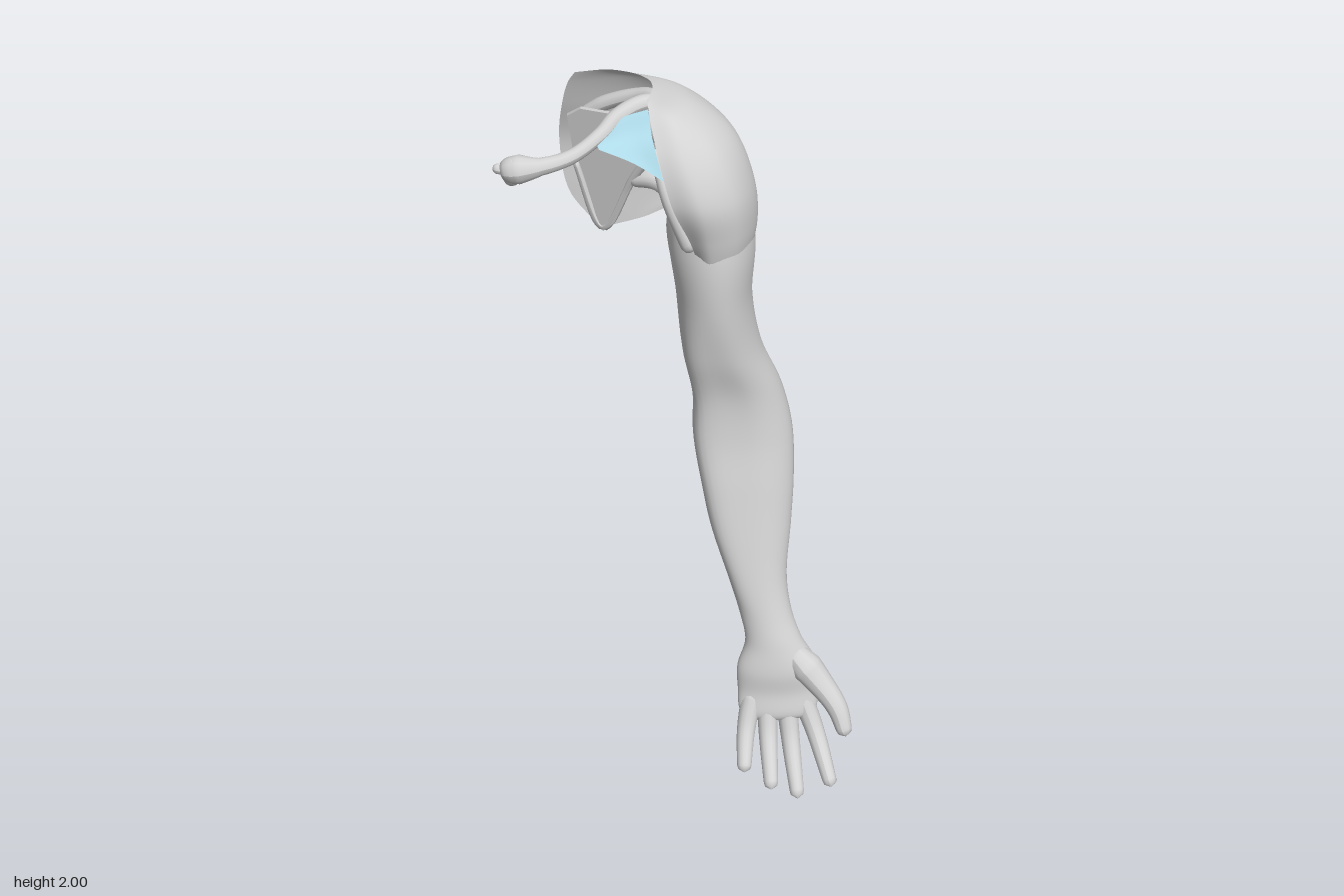
import * as THREE from 'three';
import { mergeVertices } from 'three/addons/utils/BufferGeometryUtils.js';

const V = (p) => new THREE.Vector3(...p);
const spline = (pts) => new THREE.CatmullRomCurve3(pts);

// Smooth surface through a grid of control points (rows of Vector3)
function patch(rows, nu, nv) {
  const across = rows.map((r) => spline(r).getPoints(nu));
  const pos = [], index = [];
  for (let i = 0; i <= nu; i++) {
    for (const p of spline(across.map((r) => r[i])).getPoints(nv)) pos.push(p.x, p.y, p.z);
  }
  const w = nv + 1;
  for (let i = 0; i < nu; i++) {
    for (let j = 0; j < nv; j++) {
      const a = i * w + j, b = a + w;
      index.push(a, b, a + 1, b, b + 1, a + 1);
    }
  }
  let g = new THREE.BufferGeometry();
  g.setAttribute('position', new THREE.Float32BufferAttribute(pos, 3));
  g.setIndex(index);
  g = mergeVertices(g, 1e-5);
  g.computeVertexNormals();
  return g;
}

// Tube along points, with radii spread evenly along it and rounded ends
function limb(points, radii, seg = 28, sides = 14) {
  const curve = spline(points.map(V));
  const g = new THREE.TubeGeometry(curve, seg, 1, sides);
  const pos = g.attributes.position, v = new THREE.Vector3();
  const length = curve.getLength();
  for (let i = 0; i < pos.count; i++) {
    const t = Math.floor(i / (sides + 1)) / seg;
    const k = Math.min(t * (radii.length - 1), radii.length - 1.001), n = Math.floor(k);
    let r = THREE.MathUtils.lerp(radii[n], radii[n + 1], k - n);
    const end = Math.min(t, 1 - t) * length;
    if (end < r) r *= Math.sqrt(Math.max(0, 1 - (1 - end / r) ** 2));
    const c = curve.getPointAt(t);
    v.fromBufferAttribute(pos, i).sub(c).multiplyScalar(r).add(c);
    pos.setXYZ(i, v.x, v.y, v.z);
  }
  g.computeVertexNormals();
  return g;
}

export function createModel() {
  const group = new THREE.Group();
  const grey = new THREE.MeshStandardMaterial({ color: 0xd3d3d3, side: THREE.DoubleSide });
  grey.name = 'light grey';
  const blue = new THREE.MeshStandardMaterial({ color: 0xadd8e6, side: THREE.DoubleSide });
  blue.name = 'light blue';
  const add = (name, geometry, material = grey) => {
    const mesh = new THREE.Mesh(geometry, material);
    mesh.name = name;
    group.add(mesh);
    return mesh;
  };

  // Arm and palm: y, x range, z range, lean of the diagonal towards -x +z, fullness of the inner back corner
  const sections = [
    [1.77, 0.09, 0.1, -0.06, -0.05], [1.765, 0.05, 0.15, -0.13, 0.04],
    [1.7, 0.01, 0.172, -0.185, 0.08, 0, 0.028], [1.6, -0.028, 0.188, -0.208, 0.1, 0, 0.03],
    [1.45, -0.015, 0.182, -0.2, 0.095, 0.004, 0.014], [1.3, 0, 0.208, -0.18, 0.07, 0.014, 0.004],
    [1.16, 0.03, 0.265, -0.172, 0.035, 0.024], [1.03, 0.03, 0.297, -0.15, 0.036, 0.022],
    [0.89, 0.05, 0.303, -0.115, 0.06, 0.018], [0.76, 0.075, 0.297, -0.075, 0.085, 0.012],
    [0.6, 0.125, 0.285, -0.01, 0.118, 0.004], [0.5, 0.155, 0.3, 0.03, 0.14],
    [0.42, 0.17, 0.33, 0.058, 0.16], [0.34, 0.148, 0.375, 0.07, 0.175],
    [0.27, 0.15, 0.375, 0.09, 0.175], [0.2, 0.158, 0.368, 0.118, 0.185],
    [0.18, 0.2, 0.33, 0.14, 0.175], [0.178, 0.26, 0.262, 0.155, 0.157],
  ];
  const rings = sections.map(([y, x0, x1, z0, z1, lean = 0, full = 0]) => Array.from({ length: 25 }, (_, i) => {
    const a = ((i % 24) / 24) * Math.PI * 2, c = Math.cos(a), s = Math.sin(a);
    const corner = Math.sin(2 * a) ** 2;
    const l = c * s < 0 ? lean * corner : 0;
    const f = c < 0 && s < 0 ? full * corner : 0;
    return V([(x0 + x1) / 2 + c * (x1 - x0) / 2 - l - f, y, (z0 + z1) / 2 + s * (z1 - z0) / 2 + l - f]);
  }));
  add('armAndPalm', patch(rings, 48, 110));

  // Fingers and thumb
  const digits = {
    littleFinger: [[0.196, 0.27, 0.13], [0.172, 0.16, 0.185], [0.162, 0.075, 0.272]],
    ringFinger: [[0.232, 0.27, 0.13], [0.234, 0.14, 0.19], [0.237, 0.04, 0.308]],
    middleFinger: [[0.283, 0.27, 0.13], [0.298, 0.12, 0.19], [0.312, 0.006, 0.31]],
    indexFinger: [[0.318, 0.27, 0.13], [0.368, 0.14, 0.18], [0.408, 0.028, 0.29]],
  };
  for (const [name, pts] of Object.entries(digits)) add(name, limb(pts, [0.03, 0.028, 0.024, 0.019]));
  add('thumb', limb([[0.29, 0.4, 0.12], [0.365, 0.32, 0.16], [0.422, 0.25, 0.205], [0.447, 0.175, 0.245]],
    [0.03, 0.045, 0.036, 0.029, 0.02]));

  // Shoulder skin: rows run from the front edge round the outside to the back flap
  const shoulder = [
    [[-0.085, 2, -0.03], [-0.075, 2, -0.07], [-0.07, 2, -0.1], [-0.075, 2, -0.14],
      [-0.1, 2, -0.175], [-0.13, 2, -0.195], [-0.18, 1.998, -0.215], [-0.262, 1.983, -0.235]],
    [[-0.08, 1.975, 0.02], [-0.03, 1.978, 0.025], [0.01, 1.98, -0.02], [0.025, 1.98, -0.08],
      [0.005, 1.978, -0.16], [-0.05, 1.975, -0.203], [-0.12, 1.97, -0.228], [-0.28, 1.95, -0.25]],
    [[-0.062, 1.9, 0.085], [0, 1.9, 0.095], [0.08, 1.9, 0.055], [0.128, 1.9, -0.06],
      [0.09, 1.9, -0.175], [0.02, 1.9, -0.22], [-0.07, 1.9, -0.25], [-0.297, 1.88, -0.275]],
    [[-0.03, 1.78, 0.115], [0.04, 1.78, 0.133], [0.13, 1.78, 0.085], [0.18, 1.78, -0.05],
      [0.14, 1.78, -0.175], [0.06, 1.78, -0.232], [-0.05, 1.77, -0.272], [-0.308, 1.76, -0.314]],
    [[0.015, 1.67, 0.09], [0.06, 1.67, 0.113], [0.14, 1.67, 0.08], [0.192, 1.67, -0.05],
      [0.145, 1.67, -0.175], [0.06, 1.67, -0.22], [-0.04, 1.66, -0.262], [-0.286, 1.61, -0.312]],
    [[0.035, 1.6, 0.065], [0.075, 1.55, 0.08], [0.13, 1.55, 0.058], [0.172, 1.55, -0.05],
      [0.115, 1.57, -0.175], [0.01, 1.62, -0.2], [-0.1, 1.55, -0.265], [-0.205, 1.508, -0.292]],
  ];
  add('shoulderSkin', patch(shoulder.map((r) => r.map(V)), 70, 50));

  // Collarbone with its knobbed inner end
  add('collarbone', limb([[-0.445, 1.905, 0.15], [-0.42, 1.91, 0.152], [-0.35, 1.92, 0.158], [-0.275, 1.925, 0.12],
    [-0.2, 1.94, 0.03], [-0.16, 1.955, -0.035], [-0.1, 1.968, -0.08], [-0.05, 1.965, -0.095]],
  [0.03, 0.036, 0.022, 0.019, 0.018, 0.018, 0.019, 0.02, 0.021, 0.022, 0.022], 60));
  add('collarboneStub', limb([[-0.46, 1.915, 0.15], [-0.41, 1.91, 0.15]], [0.012, 0.016]));
  add('collarboneKnob', limb([[-0.418, 1.868, 0.14], [-0.405, 1.945, 0.165]], [0.018, 0.026, 0.018]));

  // Chest muscle between the collarbone and the skin edge
  add('chestMuscle', patch([
    [[-0.205, 1.938, 0.035], [-0.15, 1.958, -0.02], [-0.083, 1.972, -0.038]],
    [[-0.21, 1.933, 0.065], [-0.135, 1.935, 0.045], [-0.075, 1.935, 0.05]],
    [[-0.205, 1.925, 0.082], [-0.12, 1.888, 0.088], [-0.05, 1.845, 0.1]],
  ].map((r) => r.map(V)), 16, 12), blue);

  // Sliver of muscle showing at the back of the arm below the flap
  const sliver = add('backMuscleSliver', new THREE.SphereGeometry(1, 12, 10), blue);
  sliver.scale.set(0.01, 0.022, 0.01);
  sliver.position.set(0.003, 1.455, -0.168);

  // Shoulder blade, slanted to follow the back
  const blade = new THREE.Shape([[-0.285, 1.86], [-0.25, 1.89], [-0.14, 1.9], [-0.06, 1.88], [-0.06, 1.81],
    [-0.11, 1.74], [-0.17, 1.57], [-0.2, 1.535], [-0.225, 1.57], [-0.27, 1.74]].map((p) => new THREE.Vector2(...p)));
  const bladeGeo = new THREE.ExtrudeGeometry(blade, { depth: 0.014, bevelEnabled: false });
  const bp = bladeGeo.attributes.position;
  for (let i = 0; i < bp.count; i++) {
    const x = bp.getX(i), y = bp.getY(i);
    bp.setZ(i, bp.getZ(i) - 0.2 + 0.6 * (x + 0.2) - 0.1 * (1.9 - y));
  }
  bladeGeo.computeVertexNormals();
  add('shoulderBlade', bladeGeo);
  add('bladeSpine', limb([[-0.28, 1.84, -0.255], [-0.18, 1.91, -0.215], [-0.08, 1.955, -0.155], [-0.04, 1.955, -0.09]],
    [0.012, 0.02, 0.018, 0.022]));
  add('bladeHook', limb([[-0.1, 1.87, -0.13], [-0.075, 1.915, -0.08], [-0.05, 1.885, -0.02]], [0.02, 0.018, 0.016]));
  const outer = [[-0.27, 1.74, -0.236], [-0.2, 1.545, -0.232], [-0.12, 1.72, -0.165], [-0.06, 1.83, -0.12]];
  add('bladeRim', limb(outer, [0.008, 0.012, 0.011, 0.016], 48, 8));

  // Ball of the upper arm bone and the strands running to the armpit
  const ball = add('armBoneHead', new THREE.SphereGeometry(0.07, 24, 16));
  ball.position.set(0.02, 1.85, -0.06);
  add('frontStrand', limb([[-0.07, 1.87, -0.03], [-0.035, 1.76, 0.02], [0.03, 1.62, 0.05]], [0.012, 0.022, 0.03]));
  add('backStrand', limb([[-0.13, 1.71, -0.18], [-0.05, 1.72, -0.14], [0.05, 1.62, -0.1]], [0.02, 0.03, 0.035]));
  return group;
}
